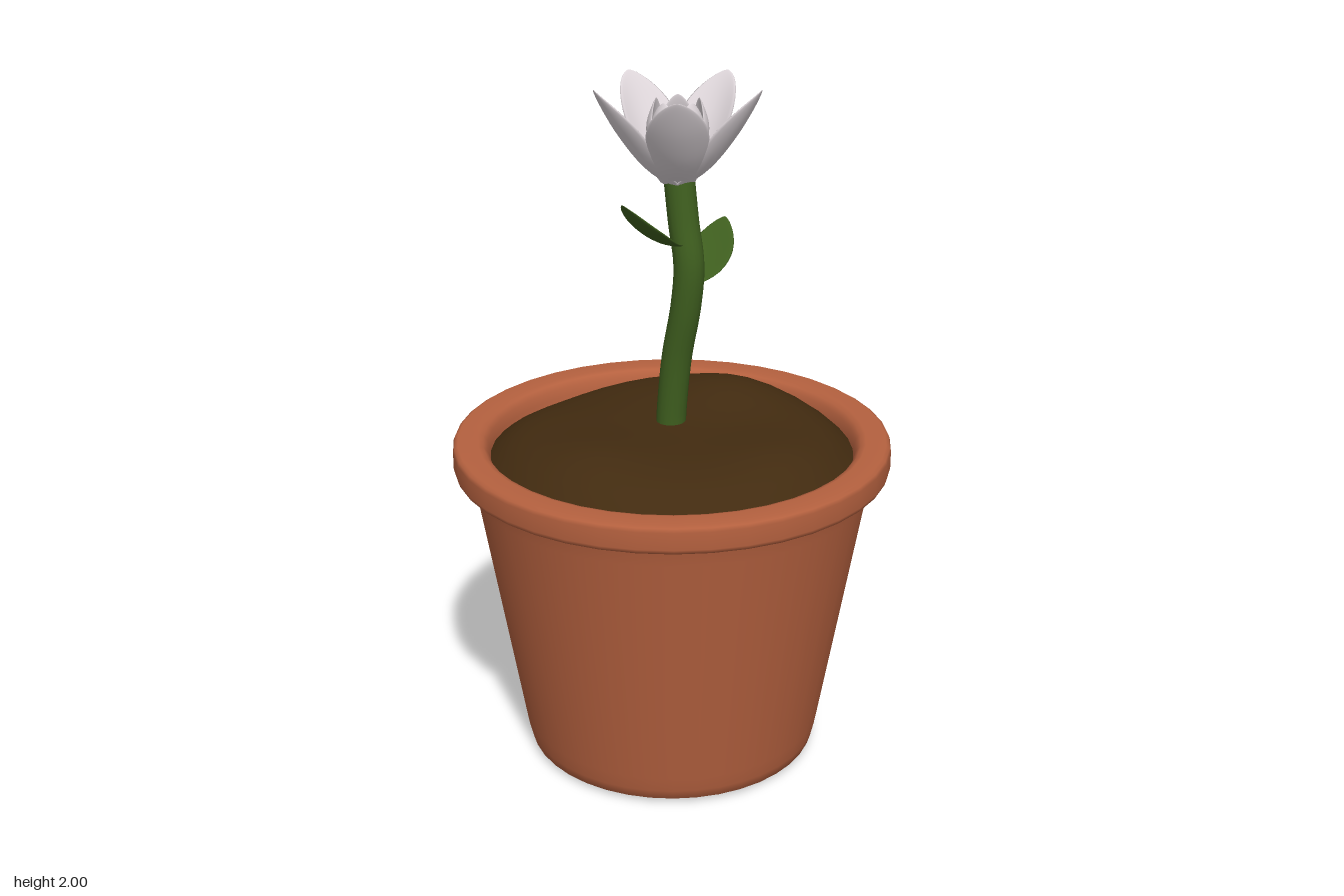
import * as THREE from 'three';
import { mergeVertices } from 'three/addons/utils/BufferGeometryUtils.js';

const mat = (color) => new THREE.MeshStandardMaterial({ color, side: THREE.DoubleSide });
const clay = mat(0xb5613f), earth = mat(0x422b10), green = mat(0x3f5f1f), white = mat(0xddd5d9);

function add(parent, name, geometry, material) {
  const mesh = new THREE.Mesh(geometry, material);
  mesh.name = name;
  parent.add(mesh);
  return mesh;
}

// Cupped blade with a lens section swept along a spine of [outward, up] points
function blade(spine, width, thick, cup, widthRule) {
  const curve = new THREE.CatmullRomCurve3(spine.map(([r, y]) => new THREE.Vector3(0, y, r)));
  const rows = 18, sides = 20, pos = [], index = [];
  const across = new THREE.Vector3(1, 0, 0);
  for (let i = 0; i <= rows; i++) {
    const u = Math.sin((i / rows) * Math.PI / 2);
    const p = curve.getPointAt(u);
    const n = curve.getTangentAt(u).cross(across);
    const k = Math.max(widthRule(u), 0.001);
    for (let j = 0; j < sides; j++) {
      const a = (j / sides) * Math.PI * 2;
      const x = Math.cos(a) * width * k;
      const lift = Math.sin(a) * thick * k + cup * (x * x) / width;
      pos.push(x, p.y + n.y * lift, p.z + n.z * lift);
      if (i < rows) {
        const a0 = i * sides + j, a1 = i * sides + (j + 1) % sides;
        index.push(a0, a1, a0 + sides, a1, a1 + sides, a0 + sides);
      }
    }
  }
  const g = new THREE.BufferGeometry();
  g.setAttribute('position', new THREE.Float32BufferAttribute(pos, 3));
  g.setIndex(index);
  g.computeVertexNormals();
  return g;
}

// Uneven height of the soil
function soilHeight(x, z) {
  const bump = (cx, cz, s) => Math.exp(-((x - cx) ** 2 + (z - cz) ** 2) / (s * s));
  const r = Math.min(Math.hypot(x, z) / 0.53, 1);
  return 0.92 + 0.095 * (1 - r ** 6) + 0.042 * bump(-0.05, -0.28, 0.18)
    + 0.022 * bump(0.02, 0.34, 0.16) + 0.015 * bump(0.38, -0.05, 0.14) - 0.025 * bump(-0.42, 0, 0.2);
}

export function createModel() {
  const model = new THREE.Group();
  model.name = 'pottedFlower';

  // Pot with a thick rim, open at the top
  const profile = [
    [0, 0], [0.39, 0], [0.41, 0.003], [0.428, 0.015], [0.437, 0.045], [0.445, 0.09],
    [0.57, 0.83], [0.578, 0.88], [0.584, 0.889], [0.615, 0.89], [0.628, 0.896], [0.632, 0.908],
    [0.632, 0.958], [0.628, 0.969], [0.618, 0.975], [0.56, 0.975], [0.545, 0.97],
    [0.533, 0.955], [0.527, 0.93], [0.51, 0.85],
  ].map(([x, y]) => new THREE.Vector2(x, y));
  add(model, 'pot', new THREE.LatheGeometry(profile, 40), clay);

  // Lumpy soil surface
  const rings = Array.from({ length: 17 }, (_, i) => new THREE.Vector2(0.53 * (1 - i / 16), 0));
  let soil = new THREE.LatheGeometry(rings, 40);
  soil.deleteAttribute('uv');
  soil.deleteAttribute('normal');
  soil = mergeVertices(soil);
  const sp = soil.attributes.position;
  for (let i = 0; i < sp.count; i++) sp.setY(i, soilHeight(sp.getX(i), sp.getZ(i)));
  soil.computeVertexNormals();
  add(model, 'soil', soil, earth);

  // Bent stem
  const path = new THREE.CatmullRomCurve3([
    [-0.005, 0.98], [0, 1.06], [0.02, 1.22], [0.055, 1.38], [0.066, 1.5], [0.045, 1.62], [0.025, 1.76],
  ].map(([x, y]) => new THREE.Vector3(x, y, 0)));
  add(model, 'stem', new THREE.TubeGeometry(path, 32, 0.043, 16), green);

  // Two leaves, front and back
  const leafRule = (u) => Math.sin(Math.PI * (0.06 + 0.94 * u)) ** 0.7;
  const leafShape = blade([[0.02, 0], [0.08, 0.02], [0.15, 0.07], [0.215, 0.145]], 0.07, 0.008, 0.15, leafRule);
  const front = add(model, 'frontLeaf', leafShape, green);
  front.position.set(0.05, 1.56, 0);
  front.rotation.y = -0.12;
  const back = add(model, 'backLeaf', leafShape, green);
  back.position.set(0.06, 1.44, 0);
  back.rotation.y = Math.PI + 0.25;

  // Flower: five open petals, five closed inner petals and a round heart
  const flower = new THREE.Group();
  flower.name = 'flower';
  flower.position.set(0.022, 1.725, 0);
  model.add(flower);
  const petalRule = (u) => Math.sin(Math.PI * (0.13 + 0.87 * u ** 1.25)) ** 0.6;
  const outer = blade([[0.02, 0], [0.085, 0.055], [0.165, 0.16], [0.235, 0.272]], 0.085, 0.012, 0.4, petalRule);
  const inner = blade([[0.015, 0.02], [0.06, 0.07], [0.08, 0.15], [0.062, 0.232]], 0.055, 0.008, 0.5, petalRule);
  for (let i = 0; i < 5; i++) {
    const turn = THREE.MathUtils.degToRad(188 - 72 * i);
    add(flower, 'outerPetal', outer, white).rotation.y = turn;
    add(flower, 'innerPetal', inner, white).rotation.y = turn + Math.PI / 5;
  }
  const heart = add(flower, 'flowerHeart', new THREE.SphereGeometry(0.062, 24, 16), white);
  heart.position.y = 0.14;
  heart.scale.y = 1.2;
  const base = add(flower, 'flowerBase', new THREE.SphereGeometry(0.055, 24, 12), white);
  base.position.y = 0.025;
  base.scale.y = 0.5;

  return model;
}
